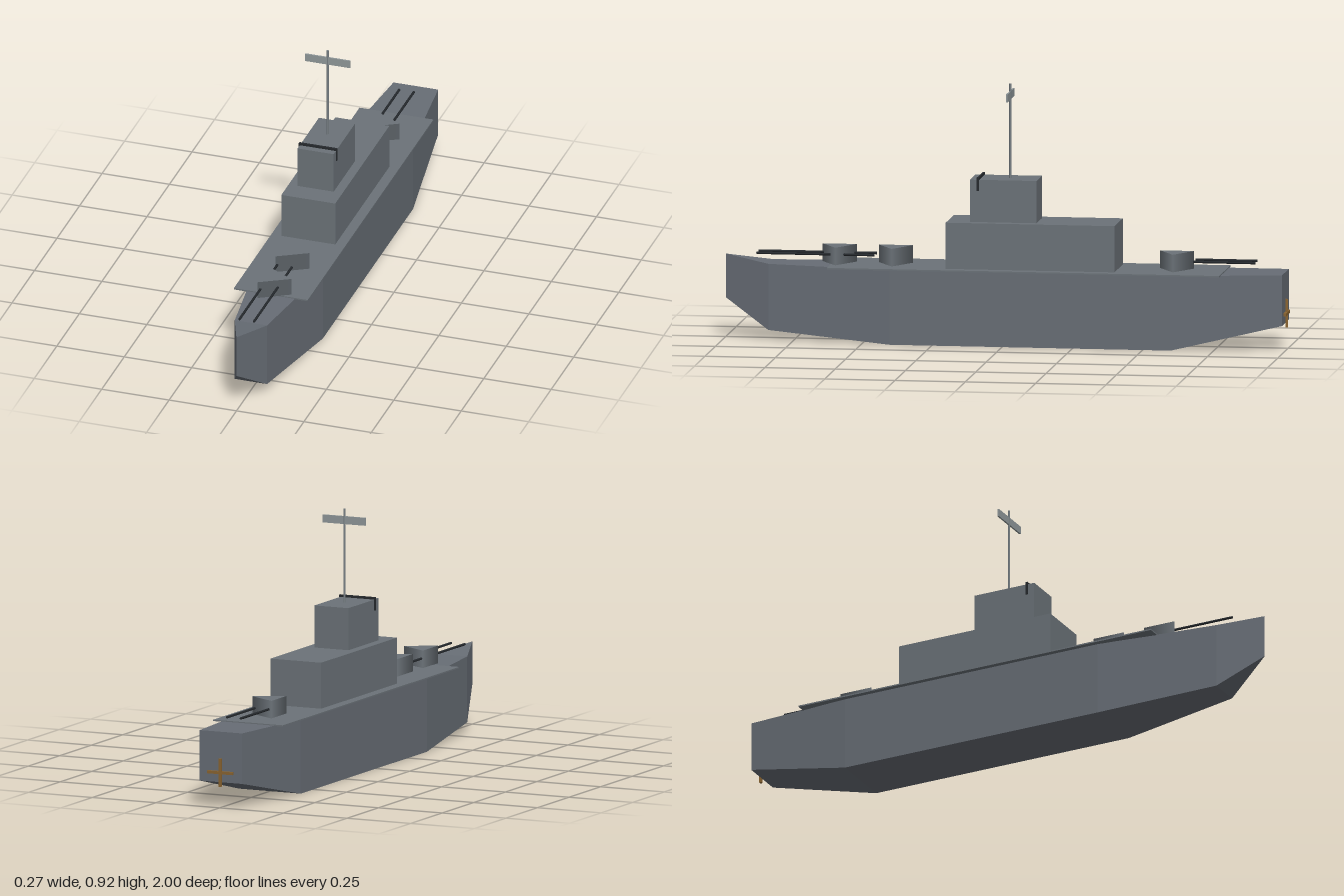
import * as THREE from 'three';

const mat = (name, color, extra = {}) =>
  Object.assign(new THREE.MeshStandardMaterial({ color, ...extra }), { name });

export function createModel() {
  const hullGrey = mat('hull grey', 0x676d75);
  const upperGrey = mat('superstructure grey', 0x6b7278);
  const mastGrey = mat('mast grey', 0x788085);
  const radarGrey = mat('radar light grey', 0x90989a);
  const gunBlack = mat('gun black', 0x25292d);
  const bronze = mat('propeller bronze', 0x8a6430);

  const model = new THREE.Group();
  model.name = 'warship';

  const add = (name, geometry, material, x, y, z, parent = model) => {
    const mesh = new THREE.Mesh(geometry, material);
    mesh.name = name;
    mesh.position.set(x, y, z);
    parent.add(mesh);
    return mesh;
  };
  // Box given by its width and its y and z ranges, centred on x = 0
  const block = (name, material, w, y0, y1, z0, z1) =>
    add(name, new THREE.BoxGeometry(w, y1 - y0, z1 - z0), material, 0, (y0 + y1) / 2, (z0 + z1) / 2);

  // Hull: rectangular cross-sections from bow to stern [z, half width, top, bottom]
  const stations = [
    [1, 0.0005, 0.295, 0.14],
    [0.84, 0.06, 0.27, 0.035],
    [0.4, 0.12, 0.265, 0],
    [-0.6, 0.12, 0.265, 0],
    [-0.99, 0.083, 0.27, 0.09],
  ];
  const points = [];
  for (const [z, w, top, bottom] of stations) {
    points.push(w, top, z, -w, top, z, -w, bottom, z, w, bottom, z);
  }
  const faces = [0, 1, 2, 0, 2, 3];
  for (let i = 0; i < stations.length - 1; i++) {
    for (let k = 0; k < 4; k++) {
      const a = i * 4 + k, b = i * 4 + ((k + 1) % 4);
      faces.push(a, b + 4, b, a, a + 4, b + 4);
    }
  }
  const s = (stations.length - 1) * 4;
  faces.push(s, s + 2, s + 1, s, s + 3, s + 2);
  let hull = new THREE.BufferGeometry();
  hull.setAttribute('position', new THREE.Float32BufferAttribute(points, 3));
  hull.setIndex(faces);
  hull = hull.toNonIndexed();
  hull.computeVertexNormals();
  add('hull', hull, hullGrey, 0, 0, 0);

  // Deck and superstructure
  block('deck', upperGrey, 0.274, 0.266, 0.271, -0.775, 0.62);
  block('superstructure', upperGrey, 0.2, 0.27, 0.435, -0.397, 0.203);
  block('bridge', upperGrey, 0.134, 0.435, 0.585, -0.115, 0.122);
  block('bridgeWindow', gunBlack, 0.142, 0.546, 0.593, 0.089, 0.097);

  // Mast and radar
  add('mast', new THREE.CylinderGeometry(0.004, 0.004, 0.337, 8), mastGrey, 0, 0.7515, -0.012);
  block('radar', radarGrey, 0.168, 0.865, 0.893, -0.015, -0.009);

  // Three-sided turrets with twin guns; dir is the way the guns point
  const turretGeometry = new THREE.CylinderGeometry(0.07, 0.07, 0.063, 3).rotateY(Math.PI / 2);
  const barrelGeometry = new THREE.CylinderGeometry(0.0045, 0.0045, 0.22, 8).rotateX(Math.PI / 2);
  const turret = (name, z, dir) => {
    const group = new THREE.Group();
    group.name = name;
    group.position.set(0, 0.302, z);
    add('turretHouse', turretGeometry, upperGrey, 0, 0, 0, group);
    for (const x of [-0.027, 0.027]) {
      add('gunBarrel', barrelGeometry, gunBlack, x, 0.002, dir * 0.177, group);
    }
    model.add(group);
  };
  turret('foreTurret', 0.6, 1);
  turret('secondTurret', 0.4, 1);
  turret('aftTurret', -0.6, -1);

  // Crossed propeller blades on the stern
  const propeller = new THREE.Group();
  propeller.name = 'propeller';
  propeller.position.set(0, 0.125, -0.995);
  add('bladeAcross', new THREE.BoxGeometry(0.1, 0.01, 0.01), bronze, 0, 0, 0, propeller);
  add('bladeUpright', new THREE.BoxGeometry(0.01, 0.1, 0.009), bronze, 0, 0, 0, propeller);
  model.add(propeller);

  return model;
}
